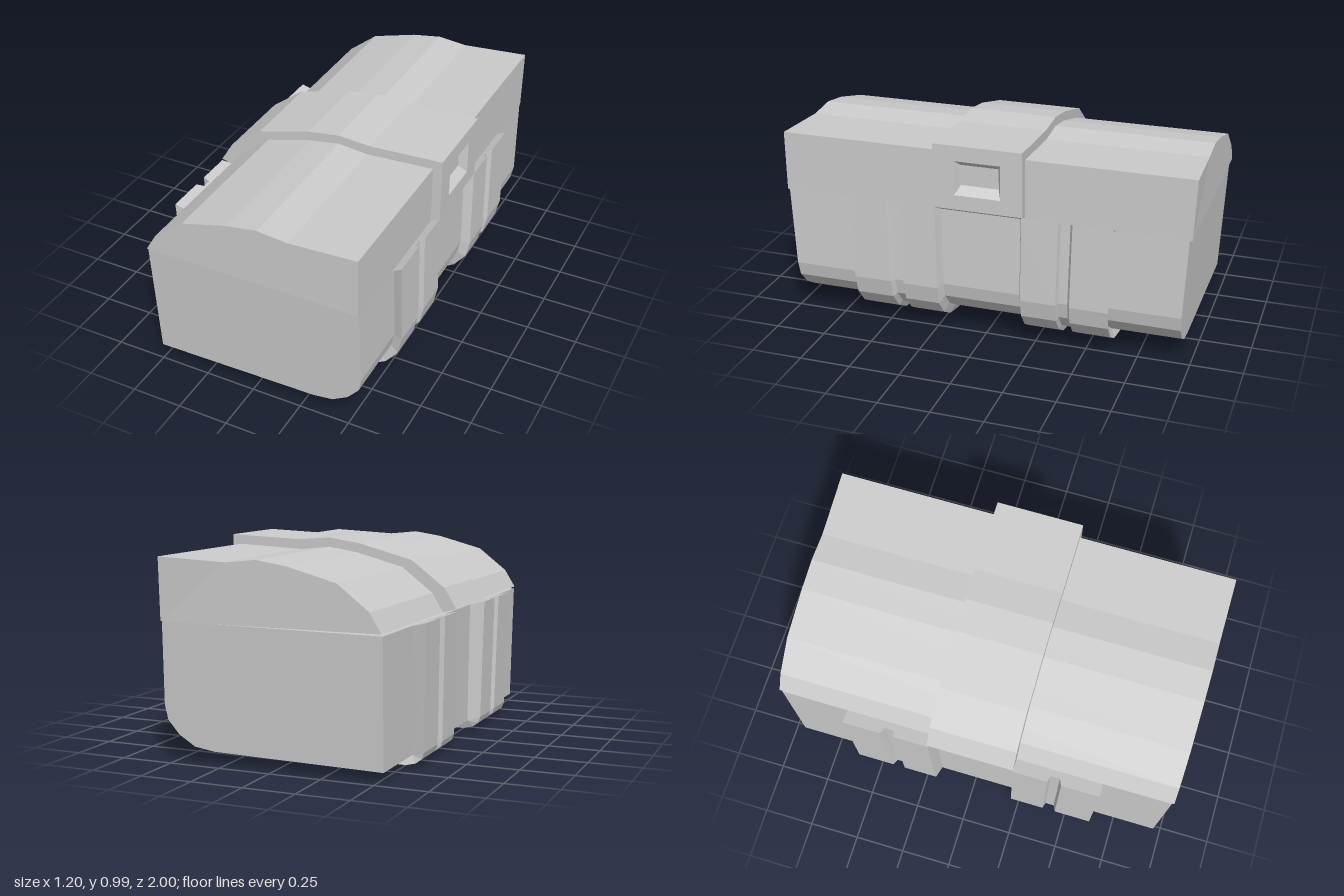
import * as THREE from 'three';

const material = new THREE.MeshStandardMaterial({ color: 0xcccccc, flatShading: true, side: THREE.DoubleSide });

// Flat-shaded mesh from a list of triangles, leaving out collapsed ones
function meshFrom(name, triangles) {
  const positions = [];
  for (const t of triangles) {
    if (new THREE.Triangle(...t).getArea() > 1e-7) for (const v of t) positions.push(v.x, v.y, v.z);
  }
  const geometry = new THREE.BufferGeometry();
  geometry.setAttribute('position', new THREE.Float32BufferAttribute(positions, 3));
  geometry.computeVertexNormals();
  const mesh = new THREE.Mesh(geometry, material);
  mesh.name = name;
  return mesh;
}

// Surface through successive rows of points
function skin(rows, skip = () => false) {
  const out = [];
  for (let r = 0; r < rows.length - 1; r++) {
    for (let c = 0; c < rows[r].length - 1; c++) {
      if (skip(r, c)) continue;
      const a = rows[r][c], b = rows[r][c + 1], d = rows[r + 1][c], e = rows[r + 1][c + 1];
      out.push([a, d, b], [b, d, e]);
    }
  }
  return out;
}

// Place a 2D profile along z; zAt gives the depth of each point
const place = (profile, zAt) => profile.map(([x, y], i) => new THREE.Vector3(x, y, zAt(y, i)));

// Closed solid between a front and a back copy of a profile
function solid(name, profile, zFront, zBack) {
  const front = place(profile, zFront), back = place(profile, zBack);
  const triangles = skin([[...front, front[0]], [...back, back[0]]]);
  const faces = THREE.ShapeUtils.triangulateShape(profile.map(p => new THREE.Vector2(...p)), []);
  for (const [a, b, c] of faces) {
    triangles.push([front[a], front[b], front[c]], [back[a], back[c], back[b]]);
  }
  return meshFrom(name, triangles);
}

// Raised band: each step is [how far out from inner to outer profile, depth]
function band(name, inner, outer, steps, zAt, skip) {
  const rows = steps.map(([k, z]) => {
    const ring = inner.map(([x, y], i) => [x + (outer[i][0] - x) * k, y + (outer[i][1] - y) * k]);
    return place([inner[0], ...ring, inner[inner.length - 1]], y => zAt(y, z));
  });
  return meshFrom(name, skin(rows, skip));
}

export function createModel() {
  const model = new THREE.Group();

  // Profiles run counterclockwise as seen from the front
  const corner = [-0.525, 0.045];
  const bodyInner = [[-0.53, 0.64], corner, corner, corner, corner, [0.30, 0.06], [0.40, 0.075],
    [0.48, 0.125], [0.535, 0.19], [0.55, 0.26], [0.545, 0.65]];
  const bodyOuter = [[-0.6, 0.657], [-0.588, 0.065], [-0.578, 0.035], [-0.548, 0.012], [-0.5, 0],
    [0.31, 0.018], [0.43, 0.04], [0.515, 0.09], [0.575, 0.165], [0.595, 0.255], [0.59, 0.675]];
  const lidInner = [[0.545, 0.65], [0.545, 0.943], [0.21, 0.927], [0.06, 0.943], [-0.09, 0.92],
    [-0.325, 0.857], [-0.475, 0.74], [-0.53, 0.65]];
  const lidOuter = [[0.59, 0.675], [0.59, 0.99], [0.225, 0.975], [0.06, 0.988], [-0.1, 0.965],
    [-0.37, 0.893], [-0.535, 0.768], [-0.597, 0.668]];

  // Chest body, narrowing slightly towards the bottom
  const bodyZ = (y, z) => 0.007 + z * (1 - 0.03 * (0.65 - y) / 0.65);
  const bodyProfile = bodyInner.filter((p, i) => p !== corner || i === 1);
  model.add(solid('body', bodyProfile, y => bodyZ(y, 0.983), y => bodyZ(y, -0.983)));

  // Domed lid
  model.add(solid('lid', lidInner, () => 1, (y, i) => (i === 1 ? -1 : -0.988)));

  // Two grooved straps wrapping the body, mirrored front to back
  const steps = [[0, 0.625], [1, 0.645], [1, 0.455], [0.5, 0.44], [0.5, 0.395], [1, 0.387], [1, 0.212], [0, 0.195]];
  model.add(band('frontStrap', bodyInner, bodyOuter, steps, bodyZ));
  const mirrored = steps.map(([k, z]) => [k, -z]).reverse();
  model.add(band('backStrap', bodyInner, bodyOuter, mirrored, bodyZ));

  // Wide lid band, left open where the latch plate sits
  const z0 = -0.21, z1 = 0.222;
  model.add(band('lidBand', lidInner, lidOuter, [[0, z1], [1, z1], [1, z0], [0, z0]],
    (y, z) => z, (r, c) => r === 1 && c === 1));

  // Latch plate with a sloped rectangular recess
  const rect = (x, za, zb, ya, yb) => [[za, ya], [za, yb], [zb, yb], [zb, ya], [za, ya]]
    .map(([z, y]) => new THREE.Vector3(x, y, z));
  model.add(meshFrom('latchPlate', skin([
    rect(0.59, z1, z0, 0.675, 0.99),
    rect(0.59, 0.12, -0.105, 0.747, 0.915),
    rect(0.55, 0.1, -0.085, 0.785, 0.885),
    rect(0.55, 0.007, 0.007, 0.835, 0.835),
  ])));

  return model;
}
